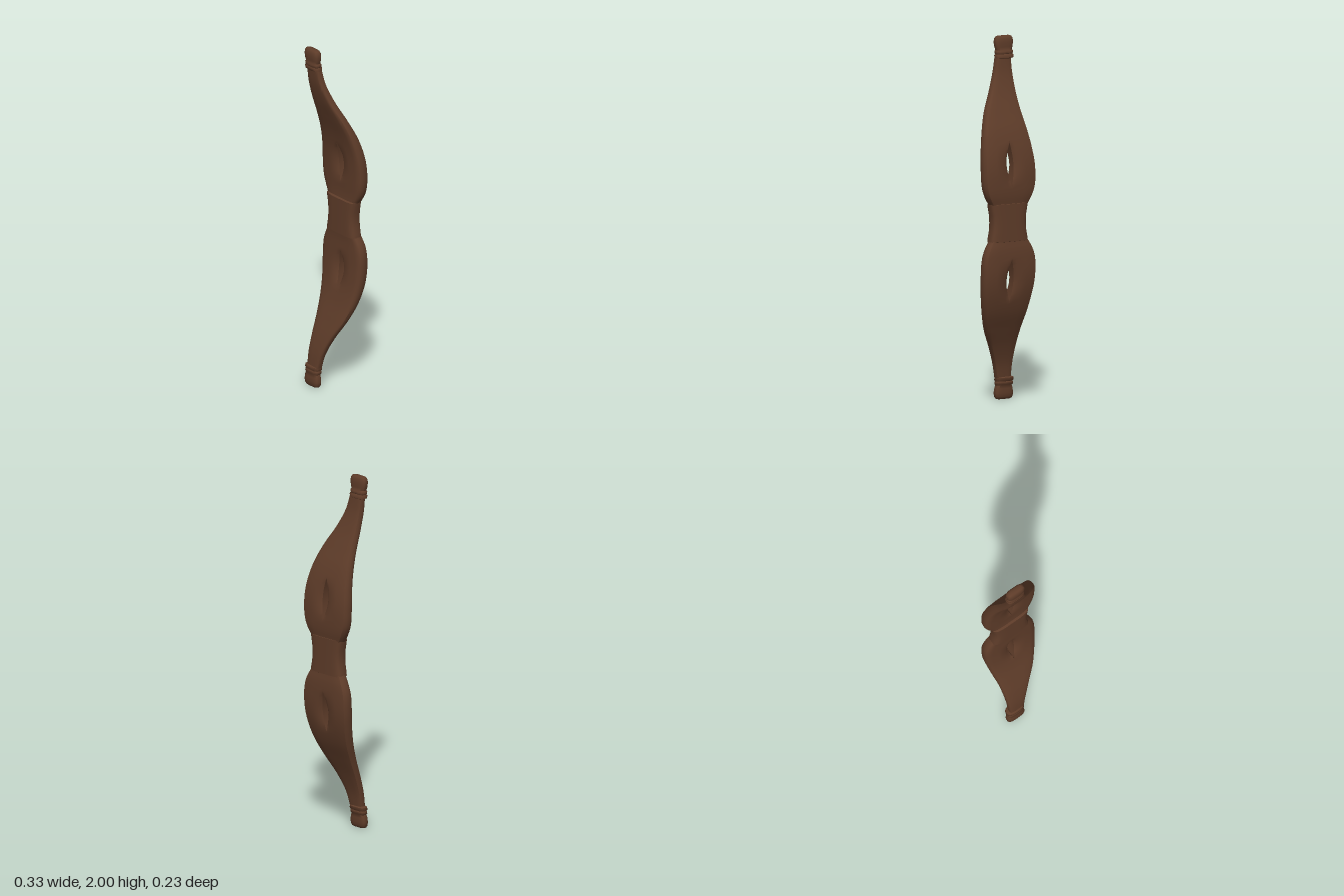
import * as THREE from 'three';
import { mergeGeometries, toCreasedNormals } from 'three/addons/utils/BufferGeometryUtils.js';

// Skin a stack of closed cross-sections (rising in y, each running from +x to +z) with end caps
function loft(rings) {
  const n = rings[0].length, pos = [], idx = [];
  rings.forEach(r => r.forEach(p => pos.push(...p)));
  for (let i = 0; i < rings.length - 1; i++) {
    for (let j = 0; j < n; j++) {
      const a = i * n + j, b = i * n + (j + 1) % n;
      idx.push(a, a + n, b, b, a + n, b + n);
    }
  }
  [0, rings.length - 1].forEach((row, top) => {
    const c = pos.length / 3;
    for (let k = 0; k < 3; k++) pos.push(rings[row].reduce((s, p) => s + p[k], 0) / n);
    for (let j = 0; j < n; j++) {
      const a = row * n + j, b = row * n + (j + 1) % n;
      if (top) idx.push(c, b, a); else idx.push(c, a, b);
    }
  });
  const g = new THREE.BufferGeometry();
  g.setAttribute('position', new THREE.Float32BufferAttribute(pos, 3));
  g.setIndex(idx);
  return g;
}

// Rounded-rectangle ring: centre x, y, z, half width, half depth, roundness power
function ring(x, y, z, w, d, power, n = 32) {
  return Array.from({ length: n }, (_, j) => {
    const a = j / n * Math.PI * 2, c = Math.cos(a), s = Math.sin(a);
    return [x + w * Math.sign(c) * Math.abs(c) ** power, y, z + d * Math.sign(s) * Math.abs(s) ** power];
  });
}

// Height above the grip centre: left edge x, right edge x, seam x, centre z, half thickness
const heights = [0, 0.06, 0.1, 0.14, 0.19, 0.3, 0.4, 0.5, 0.6, 0.7, 0.8, 0.9];
const limbTable = [
  -0.1, 0.1, 0, -0.068, 0.034,
  -0.1, 0.1, 0, -0.07, 0.034,
  -0.12, 0.117, 0, -0.073, 0.034,
  -0.143, 0.142, 0, -0.077, 0.036,
  -0.162, 0.16, 0, -0.078, 0.038,
  -0.166, 0.166, 0, -0.074, 0.039,
  -0.155, 0.158, 0, -0.06, 0.037,
  -0.14, 0.136, -0.002, -0.033, 0.034,
  -0.125, 0.099, -0.014, 0.006, 0.029,
  -0.117, 0.045, -0.036, 0.045, 0.025,
  -0.113, 0.002, -0.056, 0.074, 0.022,
  -0.11, -0.023, -0.066, 0.088, 0.021,
];
const limbCurve = new THREE.CubicInterpolant(heights, limbTable, 5);

// One half of a limb: side +1 or -1 across the seam, dir +1 for the upper limb, -1 for the lower
function limbHalf(side, dir) {
  const rings = [], steps = 60;
  for (let i = 0; i <= steps; i++) {
    const h = 0.06 + 0.84 * i / steps;
    const [left, right, seam, z, t] = limbCurve.evaluate(h);
    const slot = h > 0.2 && h < 0.44 ? Math.sin((h - 0.2) / 0.24 * Math.PI) : 0;
    const inner = seam + side * 0.022 * slot;
    const outer = side > 0 ? right : left;
    const lip = 1 - 0.45 * slot;
    // u runs from the seam to the outer edge, v from back to front
    const section = [[1, 0.15], [0.97, 0.6], [0.9, 0.82], [0.75, 0.92], [0.45, 1], [0.15, 1], [0, lip],
      [0, -lip], [0.15, -1], [0.5, -0.98], [0.8, -0.9], [0.92, -0.78], [0.98, -0.4]];
    const pts = section.map(([u, v]) => [inner + (outer - inner) * u, 1 + dir * h, z + t * v]);
    rings.push(side > 0 ? pts : pts.reverse());
  }
  return loft(dir > 0 ? rings : rings.reverse());
}

export function createModel() {
  const model = new THREE.Group();
  const wood = new THREE.MeshStandardMaterial({ color: 0x5e3c29 });
  wood.name = 'dark brown wood';
  const add = (name, geometry, crease = 0.7) => {
    const mesh = new THREE.Mesh(toCreasedNormals(geometry, crease), wood);
    mesh.name = name;
    model.add(mesh);
  };

  // Waisted grip wrap
  const grip = [[-0.106, 0.108], [-0.103, 0.118], [-0.085, 0.116], [-0.045, 0.108], [0, 0.105],
    [0.045, 0.108], [0.085, 0.116], [0.103, 0.118], [0.106, 0.108]];
  add('grip', loft(grip.map(([y, w]) => ring(0, 1 + y, -0.068, w, w < 0.109 && Math.abs(y) > 0.1 ? 0.036 : 0.042, 0.5))));

  // Tip profile: height, half width, half depth, z
  const tip = [[0.875, 0.042, 0.02, 0.085], [0.88, 0.054, 0.028, 0.085], [0.895, 0.055, 0.029, 0.086],
    [0.901, 0.05, 0.024, 0.087], [0.906, 0.053, 0.027, 0.087], [0.917, 0.053, 0.027, 0.088],
    [0.923, 0.048, 0.022, 0.089], [0.94, 0.053, 0.024, 0.09], [0.965, 0.057, 0.025, 0.091],
    [0.985, 0.055, 0.023, 0.091], [0.996, 0.048, 0.018, 0.091], [1, 0.038, 0.012, 0.091]];

  for (const [dir, label] of [[1, 'upper'], [-1, 'lower']]) {
    // Slotted limb in two halves joined at the seam
    add(label + 'Limb', mergeGeometries([limbHalf(1, dir), limbHalf(-1, dir)]));
    // Ringed knob at the end of the limb
    const rings = tip.map(([h, w, d, z]) => ring(-0.073, 1 + dir * h, z, w, d, 0.65));
    add(label + 'Tip', loft(dir > 0 ? rings : rings.reverse()), 0.9);
  }
  return model;
}
